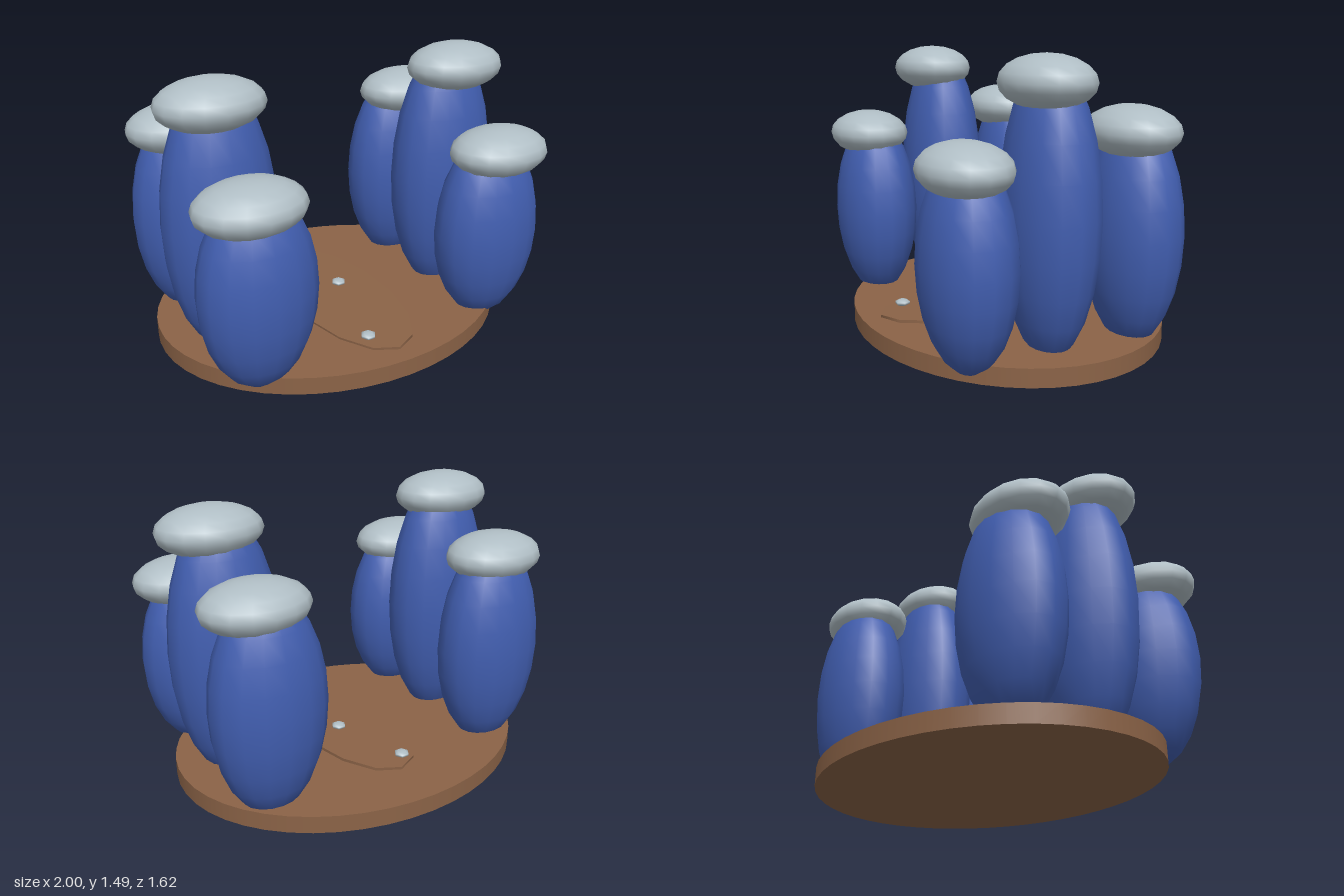
import * as THREE from 'three';

export function createModel() {
  const model = new THREE.Group();
  model.name = 'cappedPillarsOnBase';

  const material = (name, color) => {
    const m = new THREE.MeshStandardMaterial({ color });
    m.name = name;
    return m;
  };
  const brown = material('brown', 0x8b6347);
  const blue = material('blue', 0x415eb0);
  const grey = material('paleGrey', 0xb0bec5);

  function add(name, geometry, mat, position, scale, parent = model) {
    const mesh = new THREE.Mesh(geometry, mat);
    mesh.name = name;
    mesh.position.set(...position);
    mesh.scale.set(...scale);
    parent.add(mesh);
    return mesh;
  }

  // Oval base and the low oval patch lying on it
  add('base', new THREE.CylinderGeometry(1, 1, 1, 48), brown, [0, 0.047, 0], [1, 0.094, 0.81]);
  const patch = add('centrePatch', new THREE.CylinderGeometry(1, 1, 1, 14), brown,
    [0, 0.1, 0.09], [0.28, 0.016, 0.622]);
  patch.rotation.z = 0.014;

  // Small pebbles on the patch
  const pebble = new THREE.SphereGeometry(1, 6, 5);
  for (const [x, z] of [[-0.065, -0.44], [0.06, 0], [-0.095, 0.56]]) {
    add('pebble', pebble, grey, [x, 0.125, z], [0.042, 0.018, 0.042]);
  }

  // Three capped pillars on each side, mirrored in x
  const pillar = new THREE.SphereGeometry(1, 16, 12);
  const cap = new THREE.SphereGeometry(1, 16, 10);
  const rows = [
    { name: 'front', z: 0.511, y: 0.54, ry: 0.52, capY: 0.985, capZ: 0.533 },
    { name: 'middle', z: 0.09, y: 0.735, ry: 0.72, capY: 1.355, capZ: 0.127 },
    { name: 'back', z: -0.376, y: 0.605, ry: 0.585, capY: 1.108, capZ: -0.343 },
  ];
  for (const side of [1, -1]) {
    for (const r of rows) {
      const group = new THREE.Group();
      group.name = r.name + (side > 0 ? 'LeftColumn' : 'RightColumn');
      add('pillar', pillar, blue, [side * 0.688, r.y, r.z], [0.305, r.ry, 0.228], group);
      add('cap', cap, grey, [side * 0.72, r.capY, r.capZ], [0.28, 0.13, 0.217], group);
      model.add(group);
    }
  }
  return model;
}
